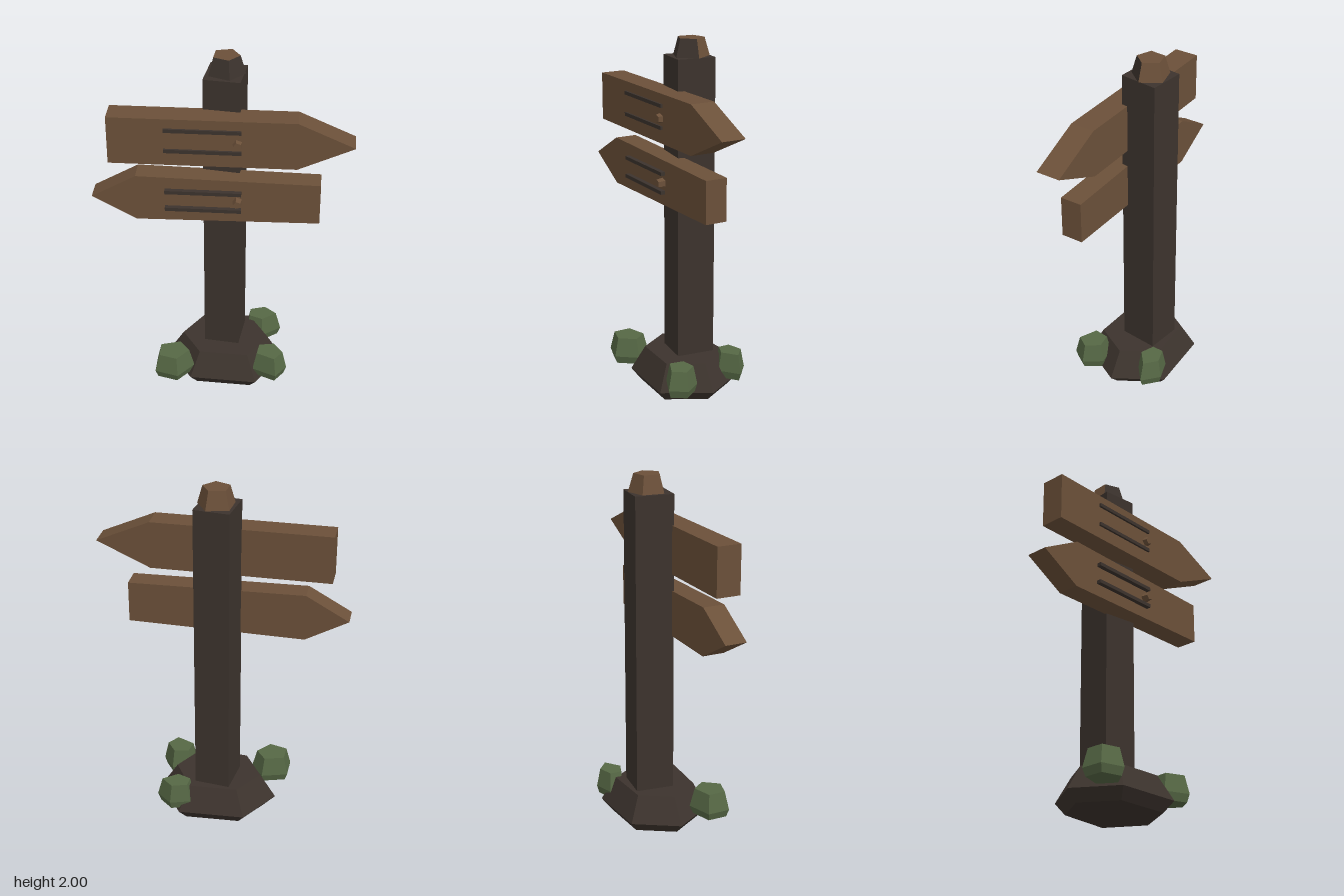
import * as THREE from 'three';

const brown = new THREE.MeshStandardMaterial({ color: 0x6b5039 });
brown.name = 'plankBrown';
const dark = new THREE.MeshStandardMaterial({ color: 0x3c332d });
dark.name = 'darkTimber';
const green = new THREE.MeshStandardMaterial({ color: 0x566845 });
green.name = 'mossGreen';

function addMesh(parent, name, geometry, material, x = 0, y = 0, z = 0) {
  const mesh = new THREE.Mesh(geometry, material);
  mesh.name = name;
  mesh.position.set(x, y, z);
  parent.add(mesh);
  return mesh;
}

// Hard-faceted version of a geometry
function faceted(geometry) {
  const g = geometry.toNonIndexed();
  g.computeVertexNormals();
  return g;
}

// Faceted rock: one [x, z] outline repeated at several [y, scale] levels
function rockGeometry(outline, levels) {
  const n = outline.length;
  const cx = outline.reduce((s, p) => s + p[0], 0) / n;
  const cz = outline.reduce((s, p) => s + p[1], 0) / n;
  const rings = levels.map(([y, s]) =>
    outline.map(([x, z]) => [cx + (x - cx) * s, y, cz + (z - cz) * s]));
  const bottom = [cx, levels[0][0], cz];
  const top = [cx, levels[levels.length - 1][0], cz];
  const v = [];
  for (let i = 0; i < n; i++) {
    const j = (i + 1) % n;
    for (let k = 0; k < rings.length - 1; k++) {
      const lo = rings[k], up = rings[k + 1];
      v.push(...lo[i], ...lo[j], ...up[j], ...lo[i], ...up[j], ...up[i]);
    }
    const last = rings[rings.length - 1];
    v.push(...top, ...last[i], ...last[j]);
    v.push(...bottom, ...rings[0][j], ...rings[0][i]);
  }
  const g = new THREE.BufferGeometry();
  g.setAttribute('position', new THREE.Float32BufferAttribute(v, 3));
  g.computeVertexNormals();
  return g;
}

// Pointed plank with two grooves and a peg
function signBoard(name, outline, front, grooveHeights, pegY) {
  const group = new THREE.Group();
  group.name = name;
  const back = 0.022;
  const shape = new THREE.Shape(outline.map(([x, y]) => new THREE.Vector2(x, y)));
  const plank = new THREE.ExtrudeGeometry(shape, { depth: front - back, bevelEnabled: false });
  addMesh(group, 'plank', plank, brown, 0, 0, back);

  const grooveFront = 0.172;
  const depth = grooveFront - front;
  for (const y of grooveHeights) {
    addMesh(group, 'groove', new THREE.BoxGeometry(0.41, 0.02, depth), dark,
      -0.097, y, front + depth / 2);
  }

  const pegLength = 0.185 - front;
  const peg = new THREE.CylinderGeometry(0.022, 0.028, pegLength, 5, 1, false, -Math.PI / 2);
  peg.rotateX(Math.PI / 2);
  addMesh(group, 'peg', faceted(peg), brown, 0.088, pegY, front + pegLength / 2);
  return group;
}

export function createModel() {
  const model = new THREE.Group();
  model.name = 'signpost';

  // Footing
  const footing = [[-0.175, 0.217], [0.204, 0.236], [0.35, -0.022],
    [0.193, -0.285], [-0.18, -0.265], [-0.328, -0.026]];
  addMesh(model, 'footing', rockGeometry(footing, [[0, 0.82], [0.063, 1], [0.205, 0.73]]), dark);

  // Mossy stones around the footing
  const stones = [
    [[-0.375, 0.25], [-0.242, 0.287], [-0.155, 0.175], [-0.23, 0.075], [-0.375, 0.12]],
    [[0.185, 0.187], [0.32, 0.247], [0.38, 0.157], [0.31, 0.06], [0.2, 0.08]],
    [[0.127, -0.17], [0.227, -0.13], [0.332, -0.213], [0.242, -0.292], [0.13, -0.255]],
  ];
  for (const outline of stones) {
    addMesh(model, 'stone', rockGeometry(outline, [[0.08, 0.85], [0.125, 1], [0.232, 0.76]]), green);
  }

  // Post, slightly turned
  const post = addMesh(model, 'post', new THREE.BoxGeometry(0.2, 1.85, 0.217), dark, 0.007, 0.975, -0.063);
  post.rotation.y = -0.12;

  // Five-sided cap: the two front sides are dark, the rest is brown
  const cap = faceted(new THREE.CylinderGeometry(0.076, 0.105, 0.1, 5, 1, false, 0.24));
  cap.clearGroups();
  cap.addGroup(0, 6, 1);
  cap.addGroup(6, 18, 0);
  cap.addGroup(24, 6, 1);
  cap.addGroup(30, 30, 0);
  addMesh(model, 'cap', cap, [brown, dark], 0.011, 1.95, -0.067);

  // Sign boards pointing opposite ways
  model.add(signBoard('upperBoard',
    [[-0.6, 1.46], [0.4, 1.46], [0.7, 1.597], [0.4, 1.73], [-0.6, 1.73]],
    0.16, [1.667, 1.547], 1.597));
  model.add(signBoard('lowerBoard',
    [[-0.7, 1.24], [-0.46, 1.107], [0.53, 1.122], [0.53, 1.357], [-0.46, 1.375]],
    0.146, [1.295, 1.19], 1.24));

  return model;
}
